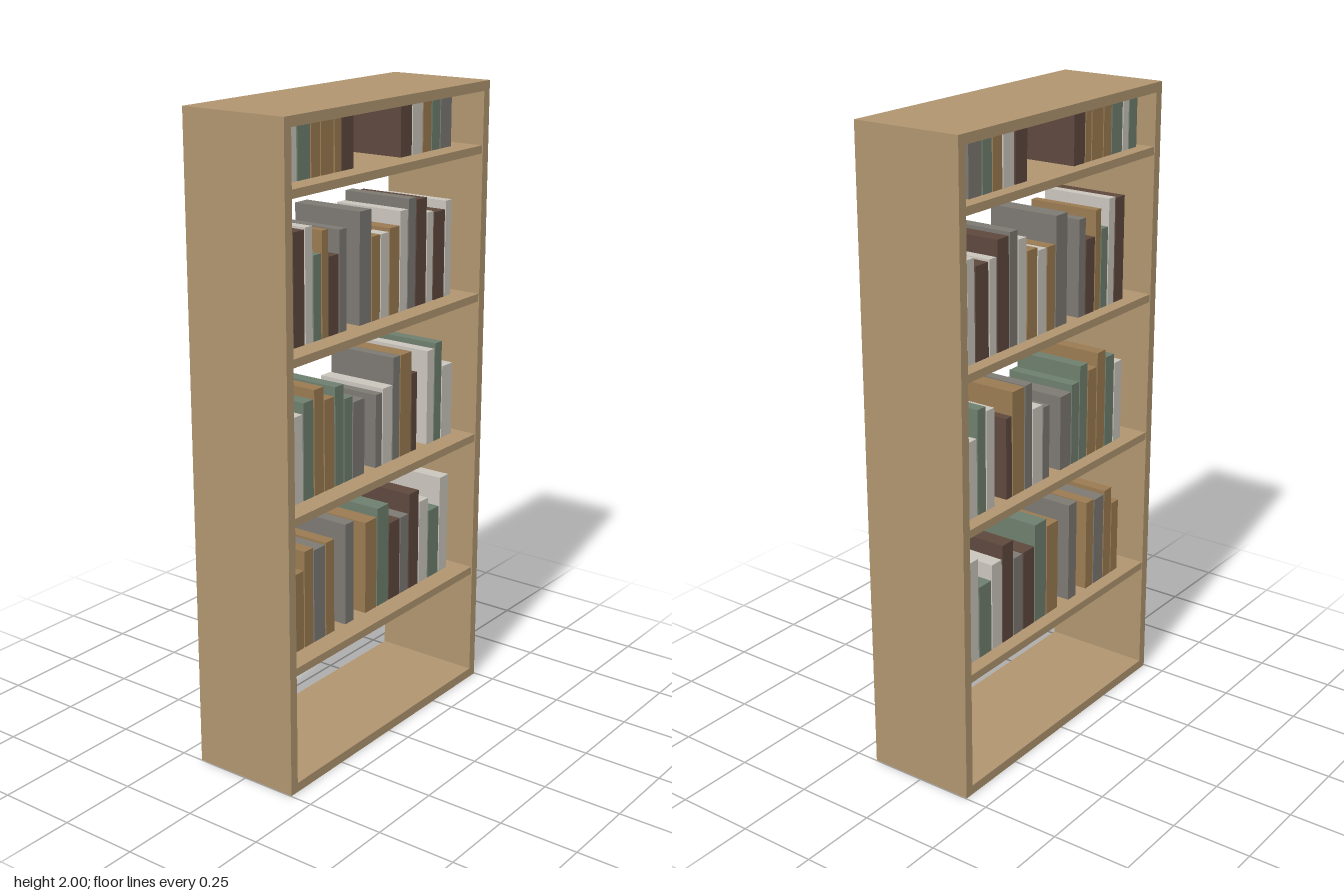
import * as THREE from 'three';

const WIDTH = 0.996, HEIGHT = 2, DEPTH = 0.354, BOARD = 0.03;
const SHELF = 0.025, GAP = 0.005;
const BOOK_FRONT = 0.107, BOOK_BACK = -0.13;

const mat = (color) => new THREE.MeshStandardMaterial({ color });
const wood = mat(0xb09570);
const covers = {
  green: mat(0x6f7f6e), tan: mat(0x9a7b52), brown: mat(0x5e483e),
  grey: mat(0x7d7973), cream: mat(0xcac6bd),
};

// Each run of books: start x, then "cover thickness height" in thousandths
const rows = [
  { top: 1.805, runs: [
    [-0.436, 'green 42 164, cream 29 164, green 55 164, tan 39 164, tan 57 164, tan 28 164, brown 55 164'],
    [0.13, 'brown 56 164, cream 50 164, tan 42 164, green 41 164, grey 57 164'],
  ] },
  { top: 1.338, runs: [
    [-0.378, 'brown 48 329, cream 32 334, green 34 249, tan 27 313, brown 45 233, grey 33 302'],
    [-0.071, 'grey 56 338, tan 40 255, cream 40 255, tan 48 265, cream 37 308, grey 37 338, brown 53 329, cream 32 281, brown 58 276, cream 32 302'],
  ] },
  { top: 0.871, runs: [
    [-0.383, 'cream 40 265, green 45 297, tan 43 324, tan 46 281, green 40 308, green 38 260, grey 56 239'],
    [0.013, 'grey 32 233, cream 48 244, grey 34 329, tan 57 328, brown 27 255'],
    [0.288, 'cream 37 308, green 37 324, cream 57 239'],
  ] },
  { top: 0.404, runs: [
    [-0.381, 'tan 37 249, tan 40 308, grey 53 297, tan 40 302'],
    [-0.14, 'grey 42 329'],
    [-0.037, 'tan 58 302, green 58 329, brown 56 260, grey 43 260, brown 52 324, cream 48 281, green 58 233, cream 47 329'],
  ] },
];

function box(parent, name, material, w, h, d, x, bottom, z = 0) {
  const mesh = new THREE.Mesh(new THREE.BoxGeometry(w, h, d), material);
  mesh.name = name;
  mesh.position.set(x, bottom + h / 2, z);
  parent.add(mesh);
}

export function createModel() {
  const model = new THREE.Group();
  model.name = 'bookcase';
  const inner = WIDTH - 2 * BOARD;

  // Open frame
  box(model, 'leftSide', wood, BOARD, HEIGHT, DEPTH, (WIDTH - BOARD) / 2, 0);
  box(model, 'rightSide', wood, BOARD, HEIGHT, DEPTH, -(WIDTH - BOARD) / 2, 0);
  box(model, 'topBoard', wood, inner, BOARD, DEPTH, 0, HEIGHT - BOARD);
  box(model, 'bottomBoard', wood, inner, BOARD, DEPTH, 0, 0);

  // Shelves with their books
  rows.forEach(({ top, runs }, i) => {
    box(model, `shelf${i + 1}`, wood, inner, SHELF, DEPTH - 0.006, 0, top - SHELF);
    const books = new THREE.Group();
    books.name = `booksOnShelf${i + 1}`;
    for (const [start, list] of runs) {
      let x = start;
      for (const entry of list.split(', ')) {
        const [cover, thickness, height] = entry.split(' ');
        const w = thickness / 1000;
        box(books, 'book', covers[cover], w, height / 1000, BOOK_FRONT - BOOK_BACK,
          x + w / 2, top, (BOOK_FRONT + BOOK_BACK) / 2);
        x += w + GAP;
      }
    }
    model.add(books);
  });
  return model;
}
